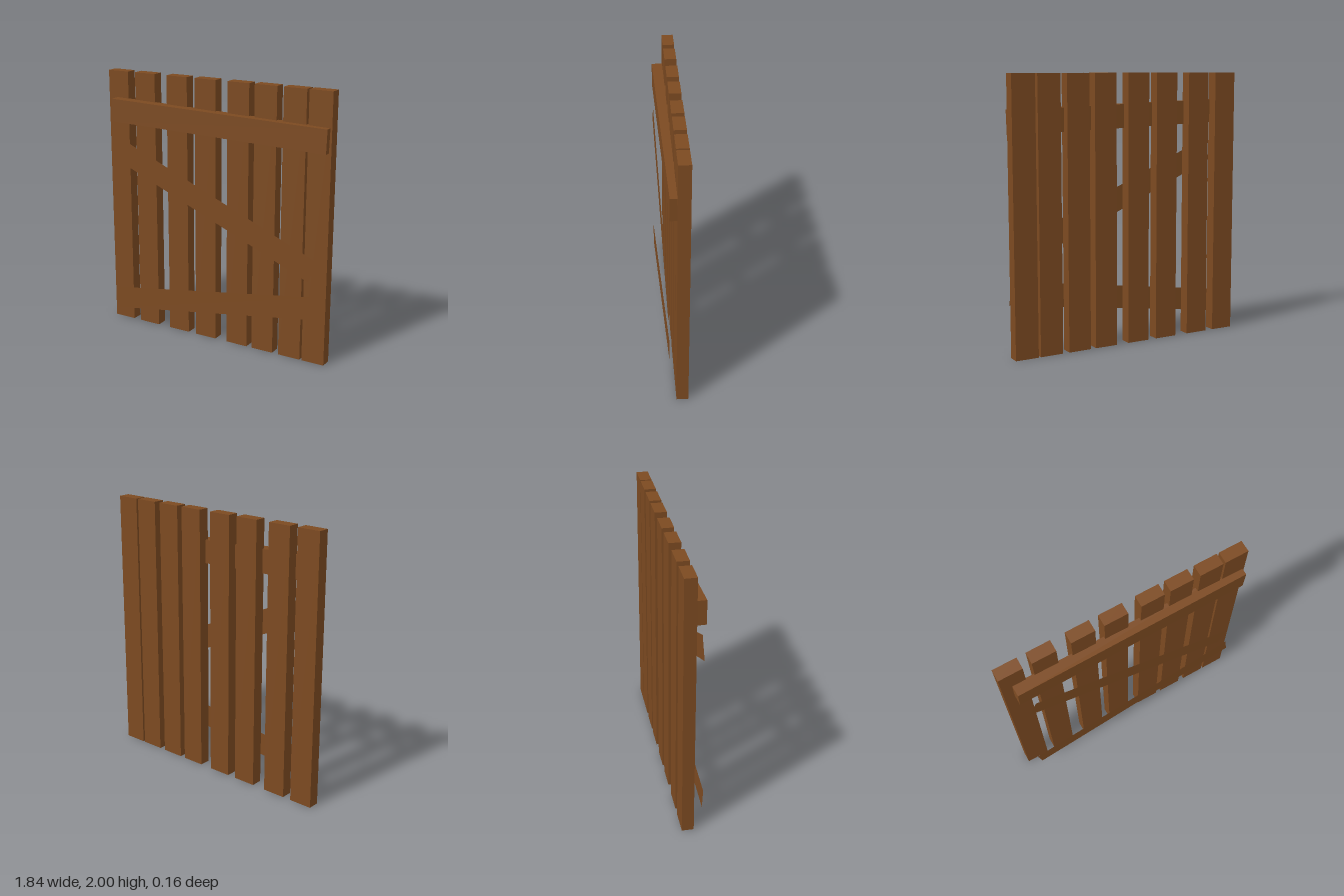
import * as THREE from 'three';

export function createModel() {
  const group = new THREE.Group();
  const wood = new THREE.MeshStandardMaterial({ color: 0x7c4a21 });
  wood.name = 'brown wood';
  wood.side = THREE.DoubleSide;

  const boardLength = 1.755, boardHeight = 0.173, boardDepth = 0.086;
  const yaw = 0.017; // the braces lean slightly towards the slats on the left side

  // Upright slats, unevenly spaced
  const slat = new THREE.BoxGeometry(0.175, 2, 0.086);
  [-0.836, -0.597, -0.317, -0.075, 0.197, 0.415, 0.64, 0.832].forEach((x, i) => {
    const mesh = new THREE.Mesh(slat, wood);
    mesh.name = `slat${i + 1}`;
    mesh.position.set(x, 1, -0.04);
    group.add(mesh);
  });

  // Adds a brace turned by the given angle in the plane of the slats
  function addBrace(name, geometry, y, z, angle) {
    const mesh = new THREE.Mesh(geometry, wood);
    mesh.name = name;
    mesh.position.set(0.027, y, z);
    mesh.rotation.set(0, yaw, angle);
    group.add(mesh);
  }

  // Solid top brace, thin diagonal and bottom braces
  const frontZ = 0.067;
  const thinBoard = new THREE.PlaneGeometry(boardLength, boardHeight);
  addBrace('topBrace', new THREE.BoxGeometry(boardLength, boardHeight, boardDepth),
    1.688, frontZ - boardDepth / 2, -0.028);
  addBrace('diagonalBrace', thinBoard, 1.065, frontZ, -0.405);
  addBrace('bottomBrace', thinBoard, 0.325, frontZ, 0.149);

  return group;
}
